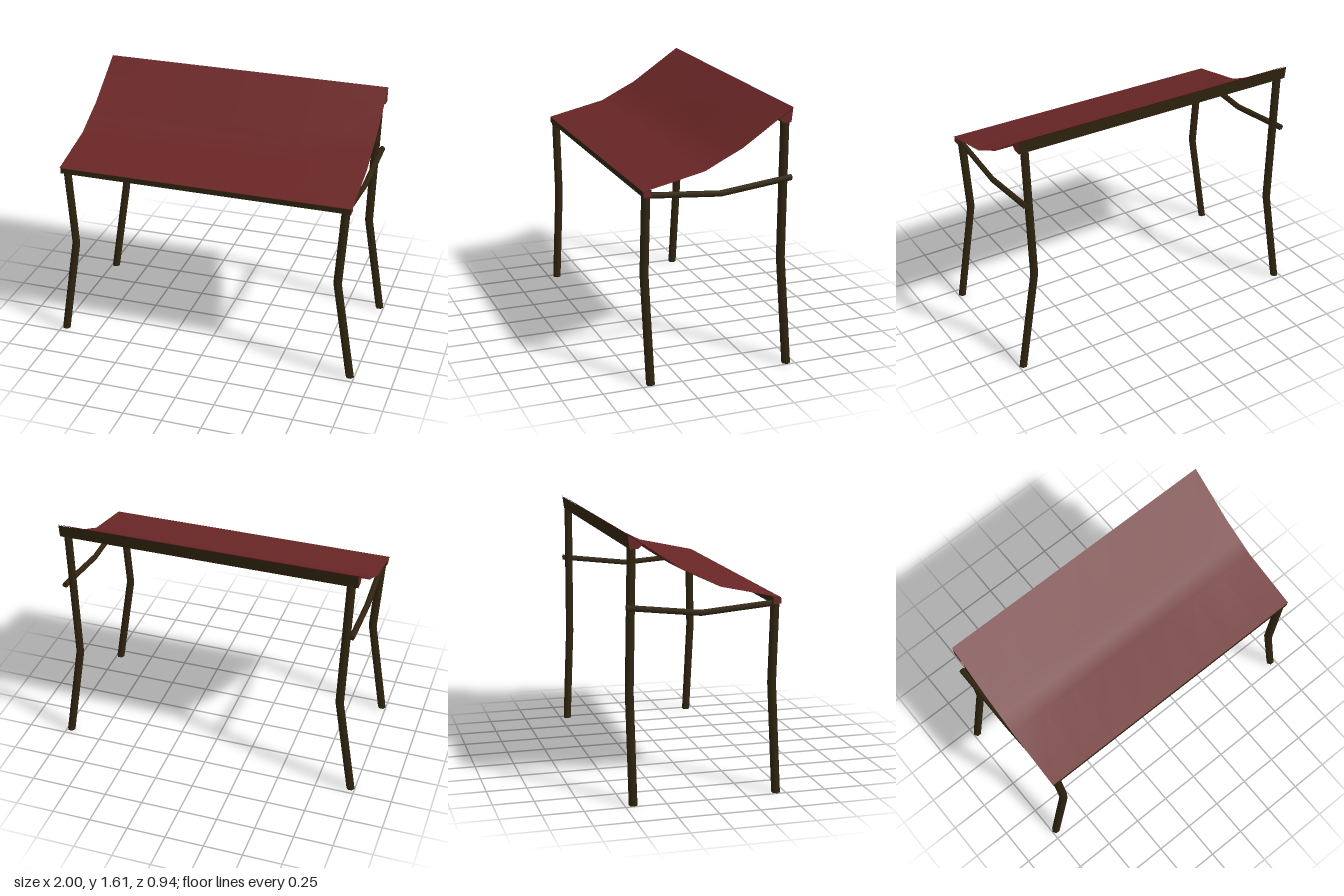
import * as THREE from 'three';

export function createModel() {
  const model = new THREE.Group();
  const wood = new THREE.MeshStandardMaterial({ color: 0x30240f });
  wood.name = 'darkWood';
  const cloth = new THREE.MeshStandardMaterial({ color: 0x6a2626, side: THREE.DoubleSide });
  cloth.name = 'redCloth';

  const add = (name, geometry, material) => {
    const mesh = new THREE.Mesh(geometry, material);
    mesh.name = name;
    model.add(mesh);
  };

  // Bent hexagonal pole: rings stay horizontal (upright) or face z (lying)
  const pole = (path, radius, lying) => {
    const n = path.length - 1;
    const geo = new THREE.CylinderGeometry(radius, radius, 1, 6, n);
    geo.rotateY(Math.PI / 6 * 3);
    if (lying) geo.rotateX(Math.PI / 2);
    const pos = geo.attributes.position;
    for (let i = 0; i < pos.count; i++) {
      const x = pos.getX(i), y = pos.getY(i), z = pos.getZ(i);
      const p = path[Math.round(((lying ? z : y) + 0.5) * n)];
      pos.setXYZ(i, p[0] + x, p[1] + (lying ? y : 0), p[2] + (lying ? 0 : z));
    }
    return geo;
  };

  // Legs and side arms, mirrored
  for (const [s, side] of [[1, 'left'], [-1, 'right']]) {
    const legs = {
      FrontLeg: [[0.972, 0, 0.443], [0.868, 0.66, 0.443], [0.902, 1.17, 0.443]],
      BackLeg: [[0.972, 0, -0.449], [0.868, 0.66, -0.443], [0.897, 1.54, -0.434]],
    };
    for (const [name, path] of Object.entries(legs)) {
      add(side + name, pole(path.map(([x, y, z]) => [s * x, y, z]), 0.027, false), wood);
    }
    const arm = [[0.925, 1.18, -0.473], [0.915, 1.125, -0.02], [0.905, 1.16, 0.44]];
    add(side + 'SideArm', pole(arm.map(([x, y, z]) => [s * x, y, z]), 0.019, true), wood);
  }

  // Cross beams: wooden sides, cloth-coloured ends; profile points are [z, y]
  const beam = (profile, length) => {
    const shape = new THREE.Shape(profile.map(([z, y]) => new THREE.Vector2(-z, y)));
    const geo = new THREE.ExtrudeGeometry(shape, { depth: length, bevelEnabled: false });
    return geo.rotateY(Math.PI / 2).translate(-length / 2, 0, 0);
  };
  add('frontBeam', beam([[0.47, 1.192], [0.47, 1.158], [0.42, 1.158], [0.42, 1.198]], 1.874), [cloth, wood]);
  add('backBeam', beam([[-0.465, 1.605], [-0.455, 1.523], [-0.402, 1.523], [-0.378, 1.547]], 1.884), [cloth, wood]);

  // Sagging awning: rows run from back to front, the middle row dips at the centre
  const rows = [[-0.467, 1.612], [-0.145, 1.395], [-0.02, 1.335], [0.09, 1.28], [0.471, 1.195]];
  const half = 0.943;
  const awning = new THREE.PlaneGeometry(half * 2, 1, 8, rows.length - 1);
  const pos = awning.attributes.position;
  for (let i = 0; i < pos.count; i++) {
    const x = pos.getX(i);
    const r = Math.floor(i / 9);
    const dip = r === 2 ? 0.03 * (1 - (x / half) ** 2) : 0;
    pos.setXYZ(i, x, rows[r][1] - dip, rows[r][0]);
  }
  awning.computeVertexNormals();
  add('awningCloth', awning, cloth);

  return model;
}
